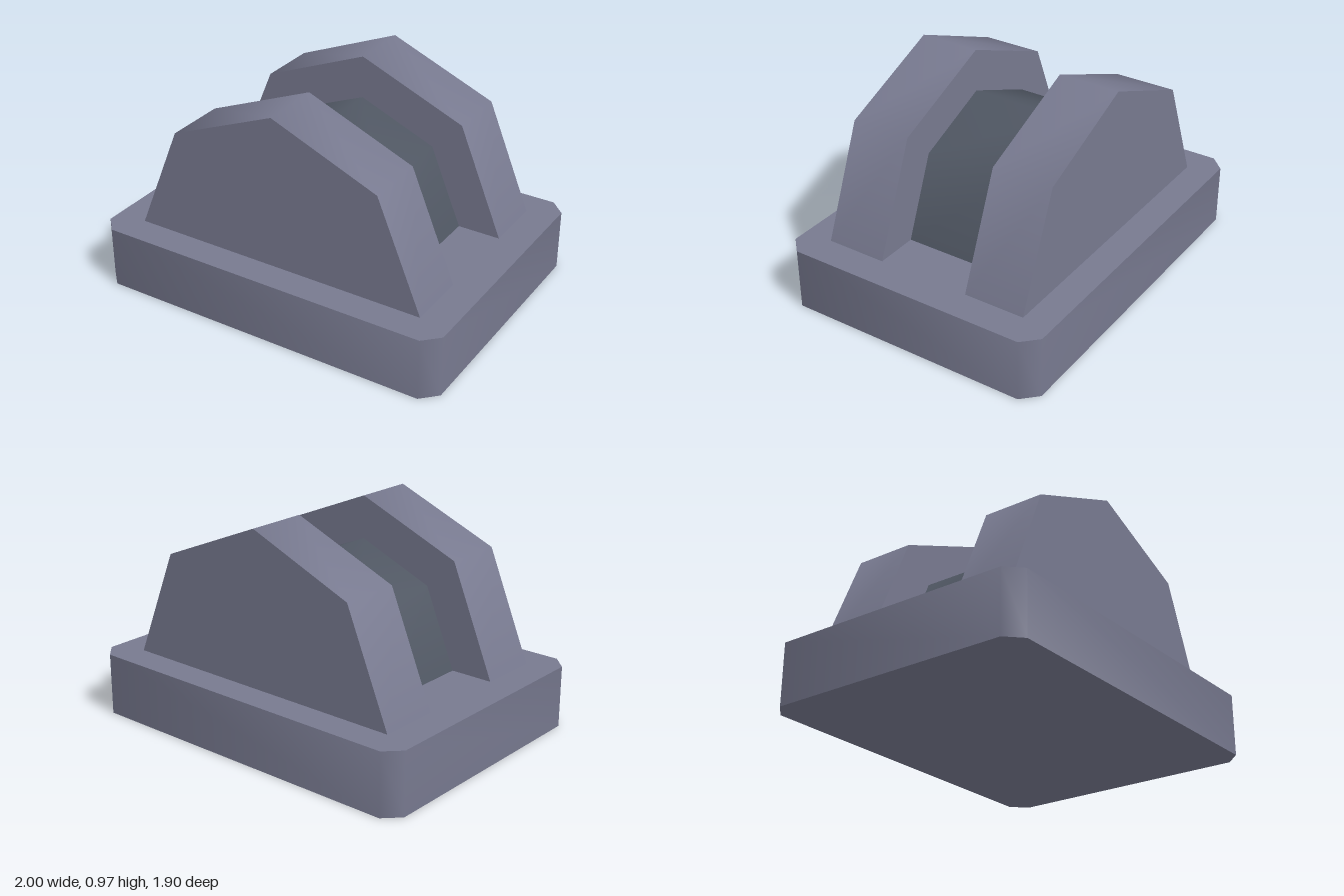
import * as THREE from 'three';
import { toCreasedNormals } from 'three/addons/utils/BufferGeometryUtils.js';

const shellPaint = new THREE.MeshStandardMaterial({ color: 0x77798f });
shellPaint.name = 'blue grey';
const corePaint = new THREE.MeshStandardMaterial({ color: 0x4f5662 });
corePaint.name = 'dark slate';

// Extrude an outline, centred on its depth, with smooth shading over the 45 degree bends
function slab(name, points, depth, material) {
  const shape = new THREE.Shape(points.map(([x, y]) => new THREE.Vector2(x, y)));
  const geometry = new THREE.ExtrudeGeometry(shape, { depth, bevelEnabled: false });
  geometry.translate(0, 0, -depth / 2);
  const mesh = new THREE.Mesh(toCreasedNormals(geometry, 1.0), material);
  mesh.name = name;
  return mesh;
}

// Gabled outline with steep lower sides, scaled about its base line
const gable = (s) => [
  [-0.694, 0], [0.694, 0], [0.49, 0.49], [0, 0.692], [-0.49, 0.49],
].map(([x, y]) => [x * s, y * s]);

export function createModel() {
  const model = new THREE.Group();
  model.name = 'mount';
  const baseHeight = 0.28;

  // Base plate with chamfered corners
  const L = 0.834, W = 0.623, c = 0.068;
  const base = slab('basePlate', [
    [-L + c, -W], [L - c, -W], [L, -W + c], [L, W - c],
    [L - c, W], [-L + c, W], [-L, W - c], [-L, -W + c],
  ], baseHeight, shellPaint);
  base.rotation.x = -Math.PI / 2;
  base.position.y = baseHeight / 2;
  model.add(base);

  // Two side cheeks
  for (const side of [-1, 1]) {
    const cheek = slab(side > 0 ? 'frontCheek' : 'backCheek', gable(1), 0.277, shellPaint);
    cheek.position.set(0, baseHeight, side * 0.3495);
    model.add(cheek);
  }

  // Smaller core between the cheeks
  const core = slab('core', gable(0.72), 0.422, corePaint);
  core.position.y = baseHeight;
  model.add(core);

  // The whole mount stands turned on the ground
  model.rotation.y = -THREE.MathUtils.degToRad(34.6);
  const root = new THREE.Group();
  root.name = 'model';
  root.add(model);
  return root;
}
